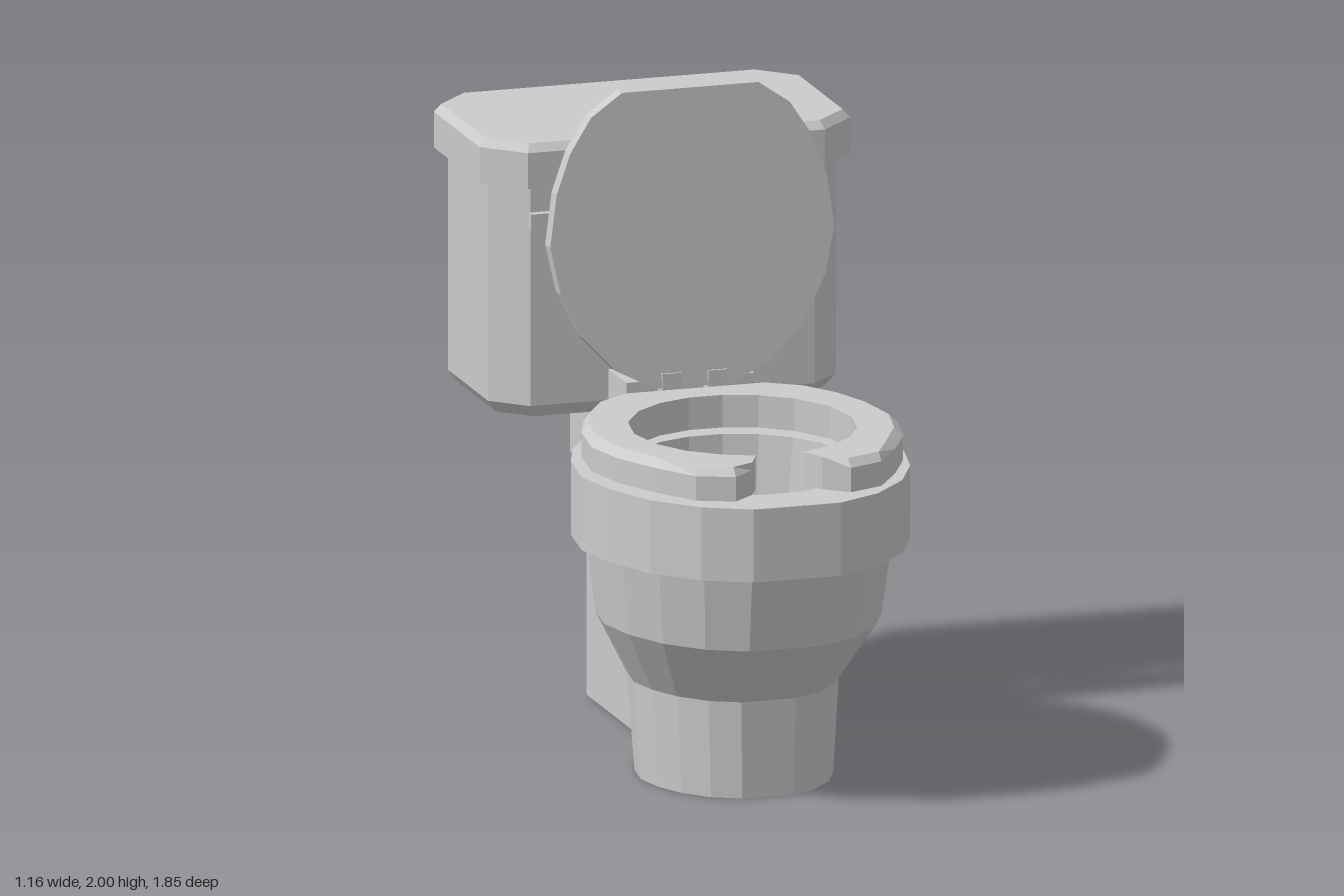
import * as THREE from 'three';

const material = new THREE.MeshStandardMaterial({ color: 0xcccccc, flatShading: true });
const openMaterial = material.clone();
openMaterial.side = THREE.DoubleSide;

// Outlines are lists of [x, z]; a half outline runs from back to front on +x
const mirror = half => [...half, ...half.map(([x, z]) => [-x, z]).reverse()];

const EGG = [[0.48, -1], [0.7, -0.85], [0.85, -0.62], [0.95, -0.35], [1, 0],
  [0.93, 0.32], [0.78, 0.62], [0.55, 0.86], [0.27, 1]];

const halfEgg = (rx, zBack, zFront) => EGG.map(([x, z]) =>
  [x * rx, (zBack + zFront) / 2 + z * (zFront - zBack) / 2]);
const egg = (rx, zBack, zFront) => mirror(halfEgg(rx, zBack, zFront));

function oval(rx, rz, cz, n = 20) {
  return Array.from({ length: n }, (_, i) => {
    const a = (i + 0.5) / n * Math.PI * 2;
    return [rx * Math.cos(a), cz + rz * Math.sin(a)];
  });
}

function octagon(hx, hz, cz, cut) {
  const half = [[hx - cut, -hz], [hx, -hz + cut], [hx, hz - cut], [hx - cut, hz]];
  return mirror(half).map(([x, z]) => [x, z + cz]);
}

// Skin matching outlines stacked at rising heights: rings = [[y, outline], ...]
function loft(rings, capBottom = true, capTop = true) {
  const n = rings[0][1].length, positions = [], index = [];
  for (const [y, outline] of rings) for (const [x, z] of outline) positions.push(x, y, z);
  for (let r = 0; r < rings.length - 1; r++) {
    for (let i = 0; i < n; i++) {
      const a = r * n + i, b = r * n + (i + 1) % n;
      index.push(a, a + n, b + n, a, b + n, b);
    }
  }
  const cap = (r, flip) => {
    const contour = rings[r][1].map(([x, z]) => new THREE.Vector2(x, z));
    for (const [a, b, c] of THREE.ShapeUtils.triangulateShape(contour, [])) {
      const o = r * n;
      index.push(o + a, o + (flip ? c : b), o + (flip ? b : c));
    }
  };
  if (capBottom) cap(0, false);
  if (capTop) cap(rings.length - 1, true);
  const g = new THREE.BufferGeometry();
  g.setAttribute('position', new THREE.Float32BufferAttribute(positions, 3));
  g.setIndex(index);
  const flat = g.toNonIndexed();
  flat.computeVertexNormals();
  return flat;
}

// Box given by its limits on each axis
function box(x0, x1, y0, y1, z0, z1) {
  return new THREE.BoxGeometry(x1 - x0, y1 - y0, z1 - z0)
    .translate((x0 + x1) / 2, (y0 + y1) / 2, (z0 + z1) / 2);
}

export function createModel() {
  const model = new THREE.Group();
  model.name = 'toilet';
  const add = (name, geometry, mat = material) => {
    const mesh = new THREE.Mesh(geometry, mat);
    mesh.name = name;
    model.add(mesh);
    return mesh;
  };

  // Foot and bowl
  add('bowl', loft([
    [0, egg(0.295, 0.01, 0.635)],
    [0.3, egg(0.315, -0.02, 0.65)],
    [0.5, egg(0.425, -0.08, 0.82)],
    [0.74, egg(0.455, -0.1, 0.87)],
  ], true, false), openMaterial);

  // Support running back under the tank
  add('rearSupport', box(-0.14, 0.14, 0, 0.75, -0.69, 0.1));

  // Rim slab with the neck that carries the tank, pierced by the basin
  const neck = [[0.175, -0.745], [0.175, -0.45], [0.185, -0.36], [0.21, -0.26], [0.235, -0.18]];
  const toVectors = outline => outline.map(([x, z]) => new THREE.Vector2(x, -z));
  const rimShape = new THREE.Shape(toVectors(mirror([...neck, ...halfEgg(0.505, -0.13, 0.925)])));
  const basinTop = oval(0.34, 0.37, 0.4);
  rimShape.holes.push(new THREE.Path(toVectors(basinTop)));
  add('rim', new THREE.ExtrudeGeometry(rimShape, { depth: 0.225, bevelEnabled: false })
    .rotateX(-Math.PI / 2).translate(0, 0.74, 0));

  // Basin interior
  add('basin', loft([[0.5, oval(0.285, 0.31, 0.37)], [0.965, basinTop]], true, false), openMaterial);

  // Open-front seat with a chamfered outer edge
  const seatOutline = inset => {
    const outer = halfEgg(0.48 - inset, -0.07, 0.9 - inset).slice(0, 7);
    const tip = [[0.29, 0.845 - inset], [0.18, 0.89 - inset], [0.11, 0.83], [0.075, 0.755]];
    const inner = [28, 48, 68, 90, 112, 134, 153, 171].map(d => {
      const a = d * Math.PI / 180;
      return [0.34 * Math.sin(a), 0.395 + 0.365 * Math.cos(a)];
    });
    return mirror([...outer, ...tip, ...inner]);
  };
  add('seat', loft([[0.985, seatOutline(0)], [1.06, seatOutline(0)], [1.085, seatOutline(0.025)]]));

  // Raised lid, leaning slightly back, chamfered on its rear face
  const lid = add('lid', loft([
    [-0.07, egg(0.41, -0.88, -0.03)],
    [-0.05, egg(0.445, -0.91, 0)],
    [0, egg(0.445, -0.91, 0)],
  ].map(([y, outline]) => [y, outline.map(([x, z]) => [x, -0.91 - z]).reverse()])
    .map(([y, outline]) => [y, outline.map(([x, z]) => [-x, z]).reverse()])
    .map(([y, outline]) => [y, THREE.ShapeUtils.area(outline.map(([x, z]) => ({ x, y: z }))) < 0
      ? outline.reverse() : outline])));
  // Wide flat end belongs at the hinge
  lid.geometry.scale(1, 1, -1).translate(0, 0, -0.91);
  const p = lid.geometry.attributes.position;
  for (let i = 0; i < p.count; i += 3) {
    const b = new THREE.Vector3().fromBufferAttribute(p, i + 1);
    p.setXYZ(i + 1, p.getX(i + 2), p.getY(i + 2), p.getZ(i + 2));
    p.setXYZ(i + 2, b.x, b.y, b.z);
  }
  lid.geometry.computeVertexNormals();
  lid.position.set(0, 1.09, -0.075);
  lid.rotation.x = THREE.MathUtils.degToRad(87.5);

  // Hinge mount, pins and small lid clips
  add('hingeMount', box(-0.2, 0.2, 0.985, 1.105, -0.29, -0.115));
  for (const s of [-1, 1]) {
    const x = 0.072 * s;
    add('hingePin', box(x - 0.03, x + 0.03, 1.035, 1.07, -0.13, -0.06));
    add('lidClip', box(x - 0.03, x + 0.03, 1.07, 1.135, -0.12, -0.07));
  }

  // Tank with cut corners and a chamfered underside
  const tank = octagon(0.545, 0.295, -0.585, 0.1);
  add('tank', loft([[0.97, octagon(0.515, 0.265, -0.585, 0.09)], [1.01, tank], [1.7, tank]]));

  // Tank cover
  const cover = octagon(0.58, 0.3375, -0.5875, 0.115);
  add('tankCover', loft([[1.69, cover], [1.8, cover], [1.825, octagon(0.56, 0.3175, -0.5875, 0.105)]]));

  // Flush lever
  add('flushLever', box(-0.455, -0.27, 1.56, 1.61, -0.275, -0.25));
  add('leverBase', box(-0.36, -0.27, 1.53, 1.63, -0.3, -0.255));
  return model;
}
